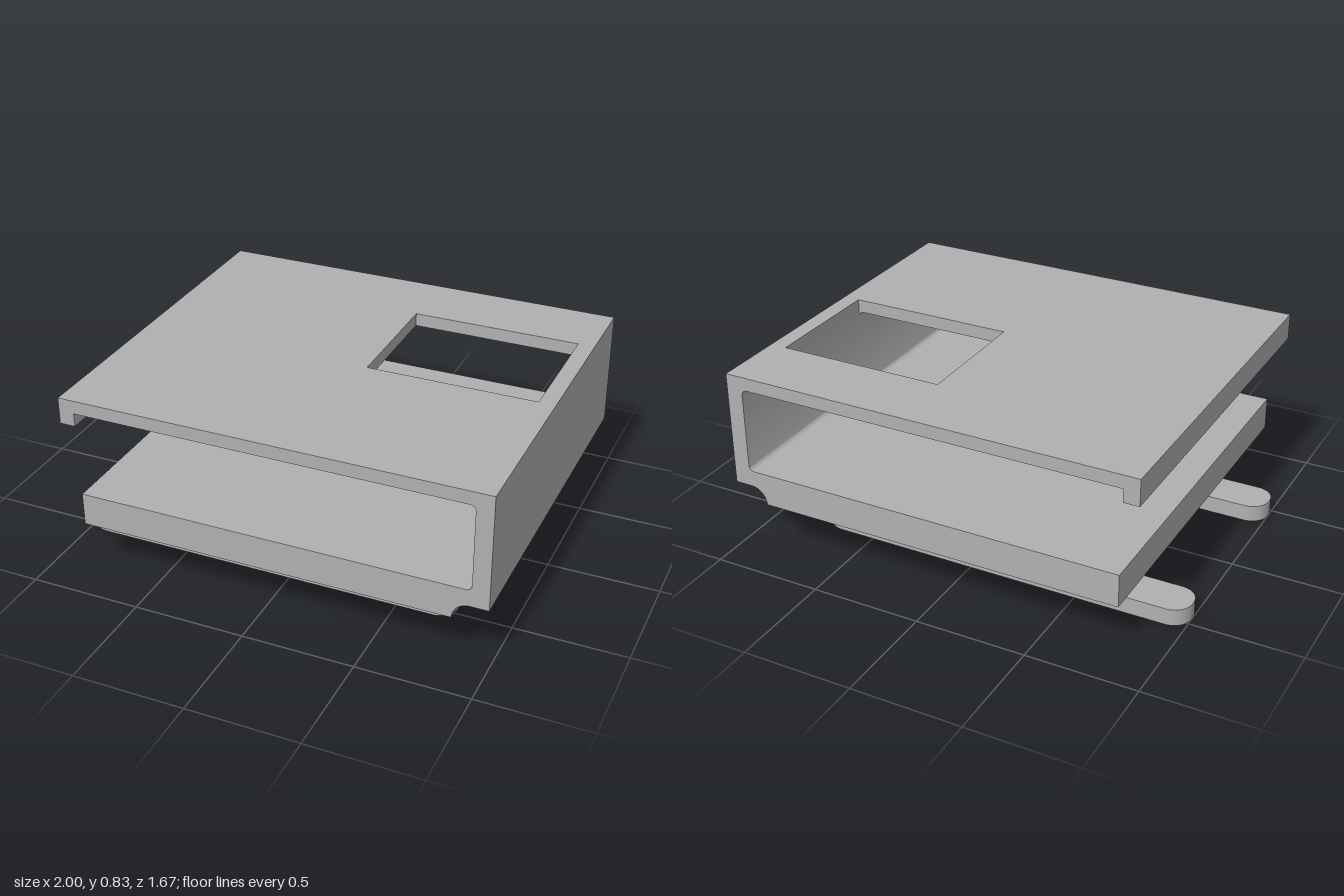
import * as THREE from 'three';
import { toCreasedNormals } from 'three/addons/utils/BufferGeometryUtils.js';

const grey = new THREE.MeshStandardMaterial({ color: 0xb0b0b0 });
grey.name = 'grey plastic';

const extrude = (shape, depth) =>
  new THREE.ExtrudeGeometry(shape, { depth, bevelEnabled: false, curveSegments: 12 });

// Side profile (x, y) extruded from z0 to z1
const alongZ = (shape, z0, z1) => extrude(shape, z1 - z0).translate(0, 0, z0);

// Plan outline (x, -z) extruded from y0 to y1
const alongY = (shape, y0, y1) => extrude(shape, y1 - y0).rotateX(-Math.PI / 2).translate(0, y0, 0);

const rect = (Type, x0, x1, y0, y1) => new Type([
  [x0, y0], [x1, y0], [x1, y1], [x0, y1],
].map(([x, y]) => new THREE.Vector2(x, y)));

export function createModel() {
  const model = new THREE.Group();
  const add = (name, geometry) => {
    const mesh = new THREE.Mesh(toCreasedNormals(geometry, 0.6), grey);
    mesh.name = name;
    model.add(mesh);
  };
  const D = 0.835;             // half depth of the holder
  const holeZ0 = -0.51, holeZ1 = 0.07;
  const wallX = 0.925, fillet = 0.025, roofY = 0.775;

  // Shelf and side wall in one piece, with an undercut groove at the outer corner
  const body = new THREE.Shape();
  body.moveTo(-0.83, 0.235);
  body.lineTo(0.845, 0.235);
  body.absarc(0.92, 0.235, 0.075, Math.PI, Math.PI / 2, true);
  body.lineTo(1, 0.31);
  body.lineTo(1, roofY);
  body.lineTo(wallX, roofY);
  body.lineTo(wallX, 0.385 + fillet);
  body.absarc(wallX - fillet, 0.385 + fillet, fillet, 0, -Math.PI / 2, true);
  body.lineTo(-0.83, 0.385);
  body.closePath();
  add('shelfAndWall', alongZ(body, -D, D));

  // Roof with its rectangular window
  const roof = rect(THREE.Shape, -0.905, 1, -D, D);
  roof.holes.push(rect(THREE.Path, 0.16, wallX, -holeZ1, -holeZ0));
  add('roof', alongY(roof, roofY, D));

  // Hanging lip along the open edge
  add('roofLip', alongZ(rect(THREE.Shape, -0.905, -0.835, 0.715, roofY), -D, D));

  // Rounded inner corner under the roof, interrupted by the window
  const corner = new THREE.Shape();
  corner.moveTo(wallX, roofY);
  corner.lineTo(wallX - fillet, roofY);
  corner.absarc(wallX - fillet, roofY - fillet, fillet, Math.PI / 2, 0, true);
  corner.closePath();
  add('backRoofFillet', alongZ(corner, -D, holeZ0));
  add('frontRoofFillet', alongZ(corner, holeZ1, D));

  // Pedestal between holder and base
  add('pedestal', new THREE.BoxGeometry(0.76, 0.16, 0.53).translate(0.005, 0.155, 0));

  // Base plate with two rounded prongs at each end
  const x0 = -1, x1 = 0.75, inner = 0.365, outer = 0.548, r = 0.085;
  const base = new THREE.Shape();
  base.moveTo(-0.634, -inner);
  for (const s of [-1, 1]) {
    // each pass traces one long side, in counter-clockwise order
    const [near, far] = s < 0 ? [x0, x1] : [x1, x0];
    const a = s < 0 ? Math.PI : 0;
    base.lineTo(near - s * r, s * inner);
    base.absarc(near - s * r, s * (inner + r), r, a - Math.PI / 2, a, false);
    if (s < 0) base.curves.pop();
    else base.curves.pop();
    base.absarc(near - s * r, s * (inner + r), r, a + (-Math.PI / 2), a, false);
    base.absarc(near - s * r, s * (outer - r), r, a, a + Math.PI / 2, false);
    base.absarc(far + s * r, s * (outer - r), r, a + Math.PI / 2, a + Math.PI, false);
    base.absarc(far + s * r, s * (inner + r), r, a + Math.PI, a + Math.PI * 1.5, false);
    const notch = s < 0 ? 0.645 : -0.634;
    base.lineTo(notch, s * inner);
    if (s < 0) base.lineTo(notch, inner);
  }
  base.closePath();
  add('basePlate', alongY(base, 0, 0.077));

  return model;
}
